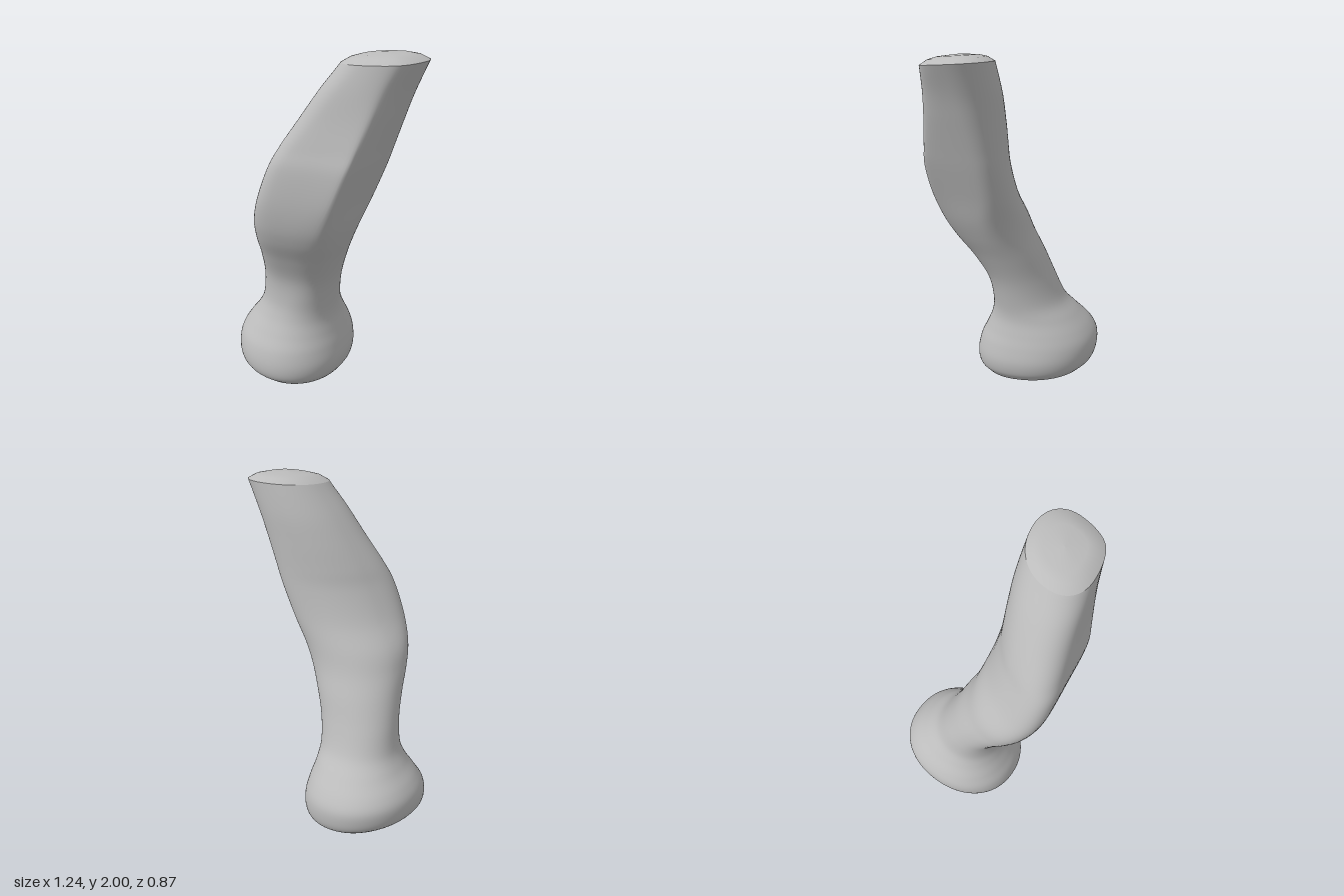
import * as THREE from 'three';

const SIDES = 64;

// Cross-sections: centre height, xMin, xMax, zMin, zMax, skew, front left corner fullness
const SHAFT = [
  [0.03, -0.56, 0.02, -0.37, 0.27],
  [0.075, -0.605, 0.05, -0.415, 0.32],
  [0.145, -0.62, 0.062, -0.432, 0.33],
  [0.23, -0.612, 0.05, -0.428, 0.31],
  [0.31, -0.575, 0.03, -0.39, 0.265],
  [0.4, -0.51, 0.012, -0.32, 0.22],
  [0.5, -0.455, 0.018, -0.24, 0.2],
  [0.65, -0.42, 0.05, -0.18, 0.213, -0.05, 0.1],
  [0.8, -0.39, 0.11, -0.135, 0.28, -0.12, 0.22],
  [0.93, -0.365, 0.175, -0.095, 0.355, -0.2, 0.35],
  [1.05, -0.335, 0.232, -0.077, 0.402, -0.3, 0.48],
  [1.2, -0.262, 0.295, -0.07, 0.43, -0.5, 0.62],
  [1.38, -0.178, 0.372, -0.07, 0.432, -0.56, 0.65],
  [1.5, -0.115, 0.42, -0.072, 0.408, -0.5, 0.6],
  [1.65, -0.02, 0.48, -0.078, 0.375, -0.38, 0.48],
  [1.8, 0.08, 0.542, -0.085, 0.348, -0.28, 0.32],
  [1.955, 0.195, 0.62, -0.085, 0.318, -0.22, 0.18],
];

// Shrinks a cross-section about its centre and moves it to a new height
function inset([, x0, x1, z0, z1, ...rest], scale, y) {
  const cx = (x0 + x1) / 2, cz = (z0 + z1) / 2;
  const rx = (x1 - x0) / 2 * scale, rz = (z1 - z0) / 2 * scale;
  return [y, cx - rx, cx + rx, cz - rz, cz + rz, ...rest];
}

// Smoothly fills in cross-sections between the given ones
function refine(rows, count) {
  const curves = [0, 3, 6].map((c) => new THREE.CatmullRomCurve3(
    rows.map((r) => new THREE.Vector3(r[c], r[c + 1] ?? 0, r[c + 2] ?? 0)), false, 'catmullrom', 0.5));
  // The third curve carries only the corner fullness
  curves[2].points.forEach((p, i) => p.set(rows[i][6] ?? 0, 0, 0));
  curves[1].points.forEach((p, i) => p.setZ(rows[i][5] ?? 0));
  return Array.from({ length: count + 1 }, (_, i) =>
    curves.flatMap((curve) => curve.getPoint(i / count).toArray()));
}

// Skins a surface over a stack of cross-sections
function loft(rows) {
  const positions = [], index = [];
  const bulge = (v) => Math.sign(v) * Math.abs(v) ** 0.93;
  rows.forEach(([y, x0, x1, z0, z1, skew = 0, corner = 0], i) => {
    const rx = (x1 - x0) / 2, rz = (z1 - z0) / 2;
    // The head tilts towards its base, the cut end slightly to the front
    const tiltX = -0.26 * Math.max(0, 1 - y / 0.5);
    const tiltZ = 0.4 * tiltX - 0.06 * THREE.MathUtils.smoothstep(y, 1.8, 1.955);
    for (let j = 0; j < SIDES; j++) {
      const t = j / SIDES * Math.PI * 2;
      const span = Math.PI / 2 - skew;
      const fill = t < span ? corner * Math.sin(Math.PI * t / span) ** 2 : 0;
      const dx = THREE.MathUtils.lerp(rx * bulge(Math.cos(t)), rx, fill);
      const dz = THREE.MathUtils.lerp(rz * bulge(Math.sin(t + skew)), rz, fill);
      // The sideways tilt eases off towards +x
      const lift = tiltX * (0.6 * dx - 0.4 * Math.hypot(dx, 0.1)) + tiltZ * dz;
      positions.push((x0 + x1) / 2 + dx, y + lift, (z0 + z1) / 2 + dz);
      if (i === rows.length - 1) continue;
      const a = i * SIDES + j, b = i * SIDES + (j + 1) % SIDES;
      index.push(a, a + SIDES, b, b, a + SIDES, b + SIDES);
    }
  });
  const geometry = new THREE.BufferGeometry();
  geometry.setAttribute('position', new THREE.Float32BufferAttribute(positions, 3));
  geometry.setIndex(index);
  geometry.computeVertexNormals();
  return geometry;
}

export function createModel() {
  const group = new THREE.Group();
  group.name = 'boneFragment';
  const bone = new THREE.MeshStandardMaterial({ color: 0xbcbcbc });
  bone.name = 'boneGrey';
  const add = (name, geometry) => {
    const mesh = new THREE.Mesh(geometry, bone);
    mesh.name = name;
    group.add(mesh);
  };

  // Rounded head with a shallow dish underneath, running into the bent shaft
  const base = SHAFT[0];
  const dish = [inset(base, 0.002, 0.075), inset(base, 0.4, 0.062), inset(base, 0.75, 0.035), inset(base, 0.9, 0.024)];
  add('headAndShaft', loft([...dish, ...refine(SHAFT, 100)]));

  // Cut end, with a hard rim
  const rim = SHAFT[SHAFT.length - 1];
  add('cutEnd', loft([rim, inset(rim, 0.8, 1.98), inset(rim, 0.55, 1.993), inset(rim, 0.002, 2)]));
  return group;
}
